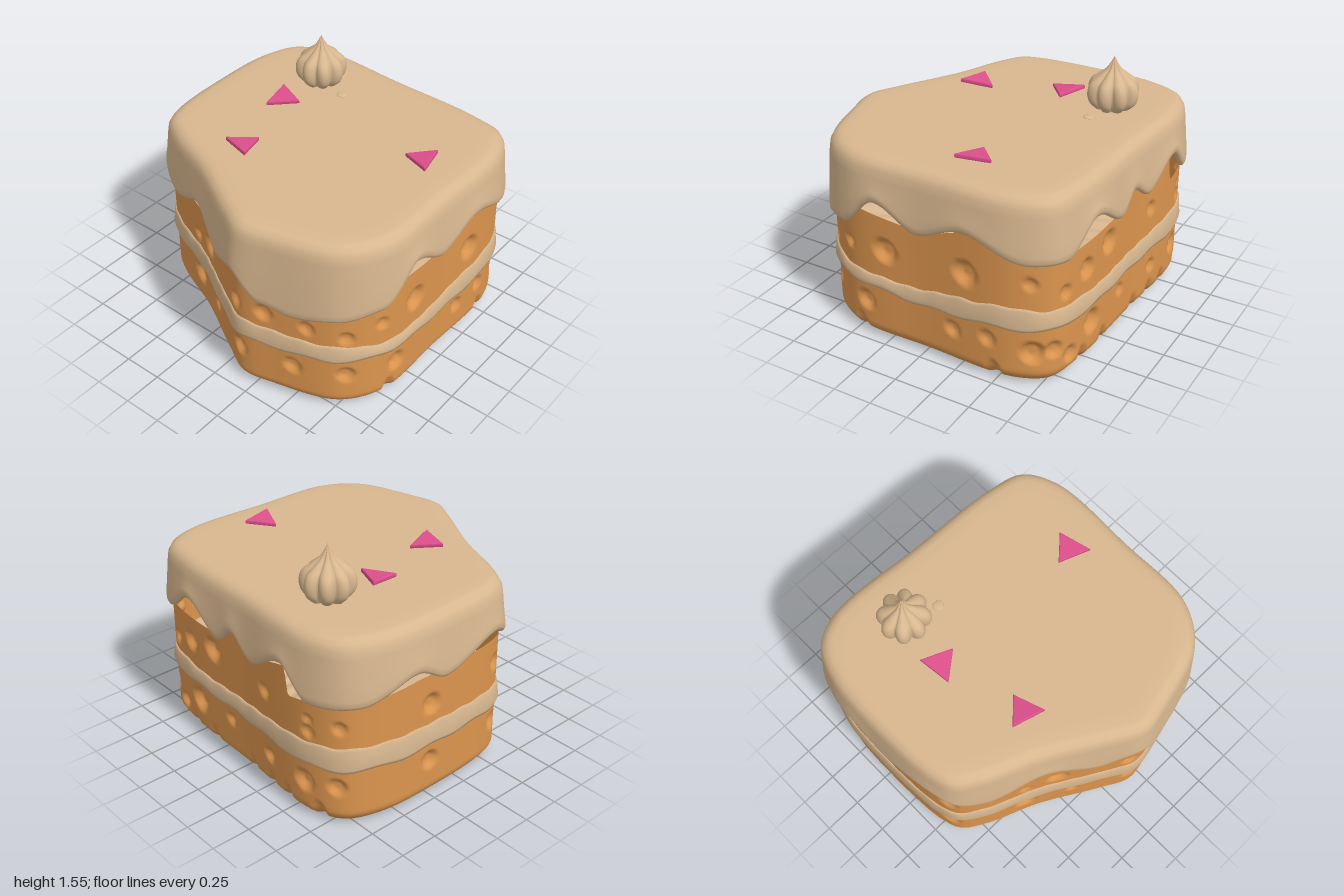
import * as THREE from 'three';

const cream = new THREE.MeshStandardMaterial({ color: 0xd8b78f });
const sponge = new THREE.MeshStandardMaterial({ color: 0xdc954e, side: THREE.DoubleSide });
const pink = new THREE.MeshStandardMaterial({ color: 0xdd4f8c });
cream.name = 'cream';
sponge.name = 'sponge';
pink.name = 'pink';

// Slice outline seen from above (x, z), going from +x towards +z
const outline = [
  [0.93, 0], [0.9, 0.6], [0.83, 0.85], [0.6, 0.98], [0, 0.985], [-0.52, 0.96], [-0.78, 0.78],
  [-0.92, 0.38], [-0.955, 0.15], [-0.86, -0.05], [-0.65, -0.42], [-0.51, -0.75], [-0.4, -0.91],
  [-0.25, -0.97], [0.2, -1], [0.6, -0.975], [0.84, -0.87], [0.95, -0.65],
];
const COLS = 360;
const curve = new THREE.CatmullRomCurve3(outline.map(([x, z]) => new THREE.Vector3(x, 0, z)), true);
const columns = [];
for (let i = 0; i < COLS; i++) {
  const p = curve.getPointAt(i / COLS), t = curve.getTangentAt(i / COLS);
  const angle = (Math.atan2(p.z, p.x) * 180 / Math.PI + 360) % 360;
  columns.push({ p, n: new THREE.Vector3(t.z, 0, -t.x).normalize(), angle });
}
const place = (col, inset, y) => col.p.clone().addScaledVector(col.n, -inset).setY(y);

// Periodic interpolation of [angle, height] keys
function heightAt(keys, angle, smooth) {
  const last = keys[keys.length - 1];
  const all = [[last[0] - 360, last[1]], ...keys, [keys[0][0] + 360, keys[0][1]]];
  const k = all.findIndex((key, i) => i > 0 && angle <= key[0]);
  const [a0, h0] = all[k - 1], [a1, h1] = all[k];
  const t = (angle - a0) / (a1 - a0);
  return h0 + (h1 - h0) * (smooth ? t * t * (3 - 2 * t) : t);
}

// Smooth skin over rings listed from the top, over the outside, to the bottom
function skin(rows, around, pointAt) {
  const pos = [], index = [];
  for (let j = 0; j < rows; j++)
    for (let i = 0; i < around; i++) pos.push(...pointAt(j, i).toArray());
  for (let j = 0; j < rows - 1; j++)
    for (let i = 0; i < around; i++) {
      const n = (i + 1) % around, a = j * around + i, b = j * around + n;
      index.push(a, b, a + around, b, b + around, a + around);
    }
  const g = new THREE.BufferGeometry();
  g.setAttribute('position', new THREE.Float32BufferAttribute(pos, 3));
  g.setIndex(index);
  g.computeVertexNormals();
  return g;
}

// Lower rim of the icing, and the uneven top rim of the sponge under it
const drips = [
  [3, 0.94], [12, 0.83], [29, 0.98], [42, 0.82], [53, 0.82], [73, 0.94], [91, 0.83], [107, 0.96],
  [121, 0.75], [135, 0.71], [150, 0.68], [161, 0.71], [173, 0.87], [187, 0.79], [210, 0.92],
  [235, 0.78], [256, 0.93], [280, 0.82], [292, 0.92], [310, 0.81], [325, 0.8], [335, 0.97], [351, 0.83],
];
const spongeRim = [
  [3, 0.95], [16, 0.84], [38, 0.83], [61, 0.87], [73, 0.94], [85, 0.86], [98, 0.85], [115, 0.88],
  [150, 0.85], [210, 0.84], [256, 0.86], [290, 0.86], [326, 0.8], [333.5, 0.77], [335, 0.95], [347, 0.88],
];
const creamRim = [
  [0, 0.5], [20, 0.49], [45, 0.51], [60, 0.53], [73, 0.5], [95, 0.45], [115, 0.46], [135, 0.5],
  [180, 0.52], [250, 0.52], [315, 0.54],
];

// Crumb holes: angle, height, radius
const holes = [
  [132, 0.27, 0.06], [113, 0.25, 0.07], [78, 0.26, 0.055], [66, 0.28, 0.055], [52, 0.23, 0.08],
  [104, 0.64, 0.085], [73, 0.67, 0.085], [120, 0.62, 0.045], [132, 0.56, 0.05], [53, 0.69, 0.045],
  [145, 0.6, 0.05], [41, 0.6, 0.05], [31.5, 0.66, 0.07], [18, 0.71, 0.08], [346, 0.68, 0.05],
  [326, 0.6, 0.045], [326, 0.68, 0.035], [316, 0.67, 0.045], [28, 0.26, 0.085], [8, 0.29, 0.045],
  [344, 0.25, 0.05], [328, 0.25, 0.075], [317, 0.27, 0.06], [38, 0.15, 0.06], [45, 0.24, 0.06],
  [285, 0.66, 0.07], [250, 0.68, 0.06], [219, 0.6, 0.045], [205, 0.65, 0.075], [174, 0.62, 0.06],
  [160, 0.62, 0.06], [285, 0.27, 0.065], [250, 0.26, 0.065], [219, 0.27, 0.075], [196, 0.27, 0.045],
  [172, 0.27, 0.065], [150, 0.27, 0.06],
].map(([a, y, r]) => ({ a, y, r, stretch: 1 }));
// Tall notches along the bottom edge
for (const a of [32, 20, 356, 344, 335, 323, 64, 116])
  holes.push({ a, y: 0.05, r: 0.05, stretch: 0.5 });
for (const h of holes) {
  const gap = (c) => Math.abs(c.angle - h.a);
  h.centre = place(columns.reduce((best, c) => (gap(c) < gap(best) ? c : best)), 0.04, h.y);
}

// Sponge wall point, pressed in at the holes
function spongePoint(col, y) {
  const base = place(col, 0.04, y);
  let inset = 0.04 + 0.06 * Math.pow(Math.max(0, 1 - (y - 0.01) / 0.09), 2);
  for (const { centre, r, stretch } of holes) {
    const d = Math.hypot(base.x - centre.x, (y - centre.y) * stretch, base.z - centre.z) / r;
    if (d < 1) inset += 0.5 * r * Math.min(1, (1 - d) * 2);
  }
  return place(col, inset, y);
}

function spongeLayer(top, bottom, closed) {
  const rows = 27;
  return skin(rows + (closed ? 1 : 0), COLS, (j, i) => {
    const col = columns[i];
    if (j === rows) return new THREE.Vector3(0, bottom, 0);
    return spongePoint(col, THREE.MathUtils.lerp(top(col.angle), bottom, j / (rows - 1)));
  });
}

function creamFilling() {
  return skin(9, COLS, (j, i) => {
    const col = columns[i], a = col.angle;
    const top = heightAt(creamRim, a, true) + 0.004 * Math.sin(a * 0.61);
    const low = 0.385 - 0.035 * Math.exp(-(((a - 90) / 18) ** 2)) + 0.008 * Math.sin(a * Math.PI / 10);
    const mid = (top + low) / 2;
    const [inset, y] = [
      [0, top - 0.02], [0.06, top - 0.01], [0.04, top], [0.028, top - 0.015], [0.024, mid],
      [0.018, low + 0.025], [0.024, low + 0.004], [0.06, low], [0, low + 0.02],
    ][j];
    return j % 8 === 0 ? new THREE.Vector3(0, y, 0) : place(col, inset, y);
  });
}

// Icing shell: top, rounded shoulder, dripping wall, inside face
function icing() {
  return skin(15, COLS, (j, i) => {
    const col = columns[i], low = heightAt(drips, col.angle, true);
    const [inset, y] = [
      [0, 1.225], [0.2, 1.225], [0.12, 1.223], [0.085, 1.215], [0.055, 1.195], [0.036, 1.16],
      [0.028, 1.11], [0.012, (1.1 + low) / 2], [0.002, low + 0.06], [0.003, low + 0.025],
      [0.014, low + 0.004], [0.03, low], [0.045, low + 0.025], [0.07, 1.13], [0, 1.13],
    ][j];
    return j % 14 === 0 ? new THREE.Vector3(0, y, 0) : place(col, inset, y);
  });
}

// Piped swirl with eight lobes fading towards the tip
function pipedSwirl() {
  const profile = new THREE.SplineCurve([
    [0, 0.34], [0.018, 0.3], [0.045, 0.255], [0.088, 0.215], [0.135, 0.17], [0.15, 0.11],
    [0.138, 0.05], [0.1, 0.005], [0.09, -0.01],
  ].map(([r, y]) => new THREE.Vector2(r, y)));
  return skin(33, 96, (j, i) => {
    const { x: r, y } = profile.getPoint(j / 32), a = i / 96 * Math.PI * 2;
    const lobed = r * (1 + 0.14 * (2 * Math.abs(Math.cos(a * 4)) ** 0.8 - 1.25));
    return new THREE.Vector3(lobed * Math.cos(a), y, lobed * Math.sin(a));
  });
}

// Thin pink chip from its corners (x, z)
function chip(corners) {
  const cx = corners.reduce((s, c) => s + c[0], 0) / 3, cz = corners.reduce((s, c) => s + c[1], 0) / 3;
  const shape = new THREE.Shape(corners.map(([x, z]) => new THREE.Vector2((x - cx) * 0.92, (z - cz) * 0.92)));
  const g = new THREE.ExtrudeGeometry(shape, {
    depth: 0.012, bevelThickness: 0.008, bevelSize: 0.008, bevelSegments: 2,
  });
  g.rotateX(Math.PI / 2);
  g.translate(cx, 0, cz);
  g.center();
  return { g, cx, cz };
}

export function createModel() {
  const cake = new THREE.Group();
  cake.name = 'cakeSlice';
  const add = (name, geometry, material, x = 0, y = 0, z = 0) => {
    const mesh = new THREE.Mesh(geometry, material);
    mesh.name = name;
    mesh.position.set(x, y, z);
    cake.add(mesh);
    return mesh;
  };

  add('lowerSponge', spongeLayer(() => 0.42, 0.01, true), sponge);
  add('creamFilling', creamFilling(), cream);
  add('upperSponge', spongeLayer((a) => heightAt(spongeRim, a, false), 0.42, false), sponge);
  add('icing', icing(), cream);
  add('pipedSwirl', pipedSwirl(), cream, 0.545, 1.22, -0.395);
  add('creamDrop', new THREE.SphereGeometry(0.035, 16, 10).scale(1, 0.25, 1), cream, 0.49, 1.225, -0.18);

  // Scattered chips: corners, tilt about x, tilt about z
  const chips = [
    [[[-0.36, -0.41], [-0.22, -0.27], [-0.42, -0.21]], 0, -0.12],
    [[[0.08, -0.45], [0.29, -0.48], [0.21, -0.29]], 0, 0.12],
    [[[0.19, 0.52], [0.32, 0.66], [0.11, 0.71]], -0.1, 0],
  ];
  for (const [corners, tiltX, tiltZ] of chips) {
    const { g, cx, cz } = chip(corners);
    add('pinkChip', g, pink, cx, 1.25, cz).rotation.set(tiltX, 0, tiltZ);
  }
  return cake;
}
